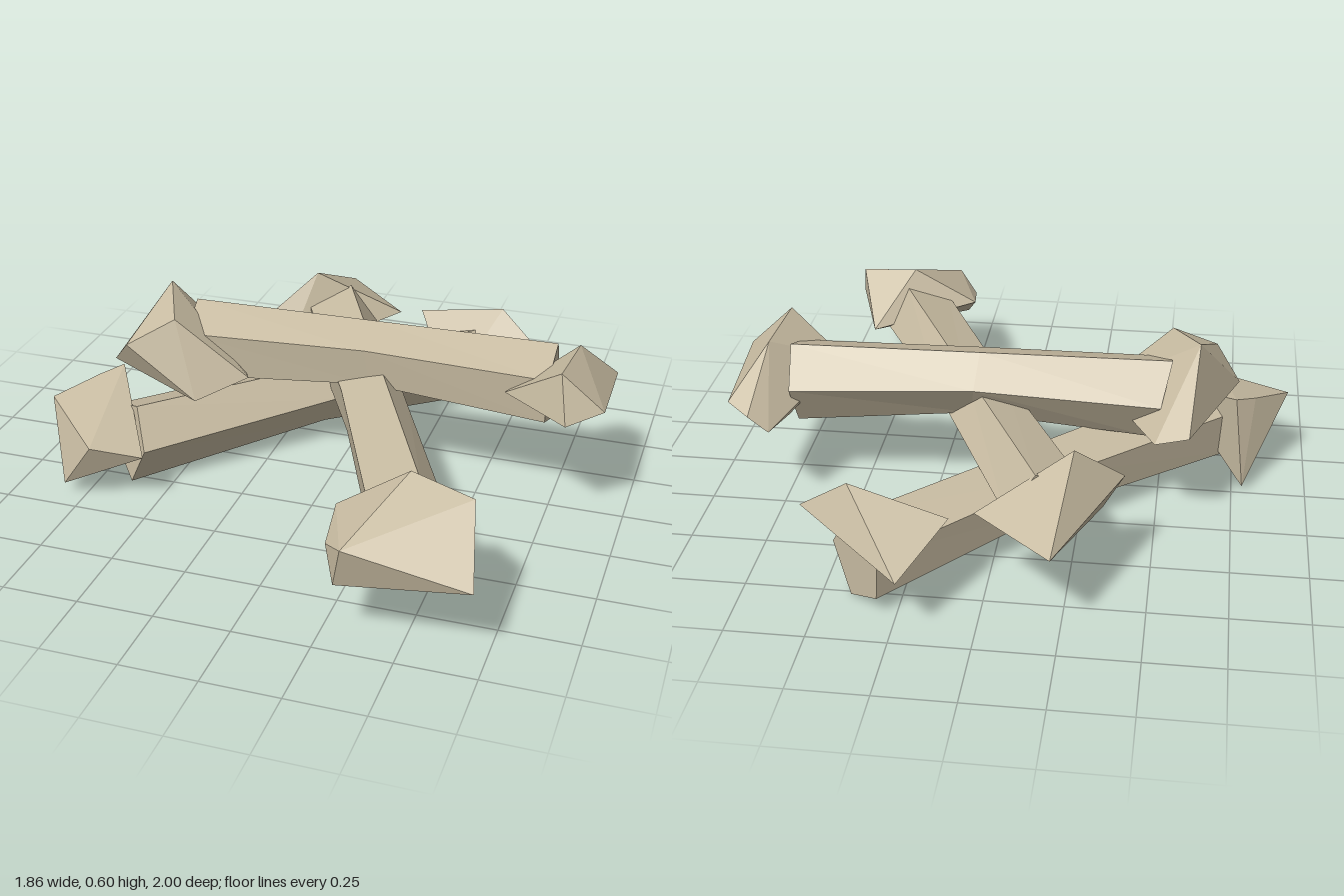
import * as THREE from 'three';
import { ConvexGeometry } from 'three/addons/geometries/ConvexGeometry.js';

// Five-sided shaft section: u across, y down from the ridge, counter-clockwise
const SECTION = [[0, 0], [-0.16, -0.06], [-0.145, -0.22], [0, -0.28], [0.09, -0.13]];

// Shaft lofted through three rings, pinched in the middle.
// angle: heading of the u axis; start/end: [position at ridge, position at bottom]
function shaftGeometry({ angle, offset, top, start, end }) {
  const n = new THREE.Vector3(Math.cos(angle), 0, Math.sin(angle));
  const t = new THREE.Vector3(-n.z, 0, n.x);
  const middle = start.map((s, i) => (s + end[i]) / 2);
  const rings = [[start, 1, 1], [middle, 0.88, 0.8], [end, 1, 1]].map(([at, wide, tall]) =>
    SECTION.map(([u, y]) => {
      const along = THREE.MathUtils.lerp(at[0], at[1], -y / 0.28);
      const p = n.clone().multiplyScalar(offset + u * wide).addScaledVector(t, along);
      p.y = top + y * tall;
      return p;
    }));
  const points = [];
  const count = SECTION.length;
  for (let r = 0; r < 2; r++) {
    const [a, b] = [rings[r], rings[r + 1]];
    for (let i = 0; i < count; i++) {
      const j = (i + 1) % count;
      points.push(a[i], a[j], b[j], a[i], b[j], b[i]);
    }
  }
  // End caps
  const [first, , last] = rings;
  for (let i = 1; i < count - 1; i++) {
    points.push(first[0], first[i + 1], first[i], last[0], last[i], last[i + 1]);
  }
  const geometry = new THREE.BufferGeometry().setFromPoints(points);
  geometry.computeVertexNormals();
  return geometry;
}

// Faceted knob spanned by a few corner points
const knobGeometry = corners => new ConvexGeometry(corners.map(c => new THREE.Vector3(...c)));

export function createModel() {
  const material = new THREE.MeshStandardMaterial({ color: 0xc8bca2 });
  material.name = 'bone';

  const model = new THREE.Group();
  model.name = 'bonePile';

  // One bone: a shaft with a knob at each end
  function addBone(name, shaft, firstKnob, secondKnob) {
    const bone = new THREE.Group();
    bone.name = name;
    const parts = {
      shaft: shaftGeometry(shaft),
      firstKnob: knobGeometry(firstKnob),
      secondKnob: knobGeometry(secondKnob),
    };
    for (const [part, geometry] of Object.entries(parts)) {
      const mesh = new THREE.Mesh(geometry, material);
      mesh.name = part;
      bone.add(mesh);
    }
    model.add(bone);
  }

  // Lies left to right
  addBone('topBone',
    { angle: -1.595, offset: 0.112, top: 0.54, start: [-0.53, -0.46], end: [0.73, 0.72] },
    [[-0.62, 0.6, -0.09], [-0.525, 0.557, 0.12], [-0.675, 0.473, 0.19], [-0.756, 0.375, 0.11],
      [-0.44, 0.29, 0.175], [-0.285, 0.353, 0.07], [-0.6, 0.37, -0.31], [-0.49, 0.33, -0.285]],
    [[0.785, 0.557, 0.12], [0.8, 0.545, -0.13], [0.815, 0.4, 0.175], [0.925, 0.43, 0.095],
      [0.91, 0.39, -0.28], [0.83, 0.37, -0.34], [0.765, 0.315, -0.335], [0.72, 0.33, -0.23],
      [0.59, 0.42, 0.035]]);

  // Runs back to front
  addBone('middleBone',
    { angle: -0.446, offset: 0.15, top: 0.41, start: [-0.66, -0.62], end: [0.8, 0.94] },
    [[-0.26, 0.47, -0.6], [-0.225, 0.305, -0.96], [0.03, 0.3, -0.72], [-0.41, 0.33, -0.49],
      [-0.34, 0.18, -0.44], [-0.2, 0.22, -0.7]],
    [[0.46, 0.47, 0.7], [0.335, 0.35, 0.995], [0.717, 0.26, 0.96], [0.3, 0.2, 0.95],
      [0.665, 0.44, 0.75], [0.24, 0.335, 0.73], [0.26, 0.3, 0.895], [0.59, 0.29, 0.535]]);

  // Runs diagonally along the ground
  addBone('bottomBone',
    { angle: Math.PI / 4, offset: -0.25, top: 0.285, start: [-0.83, -0.83], end: [0.62, 0.655] },
    [[0.22, 0.215, -1], [0.59, 0.24, -0.64], [0.1, 0.3, -0.76], [0.42, 0.37, -0.71],
      [0.26, 0.08, -0.56]],
    [[-0.93, 0.27, 0.255], [-0.785, 0.03, 0], [-0.75, 0.33, 0.06], [-0.815, 0.31, 0.12],
      [-0.53, 0.185, 0.42], [-0.695, 0.22, 0.475], [-0.82, 0.045, 0.43]]);

  return model;
}
